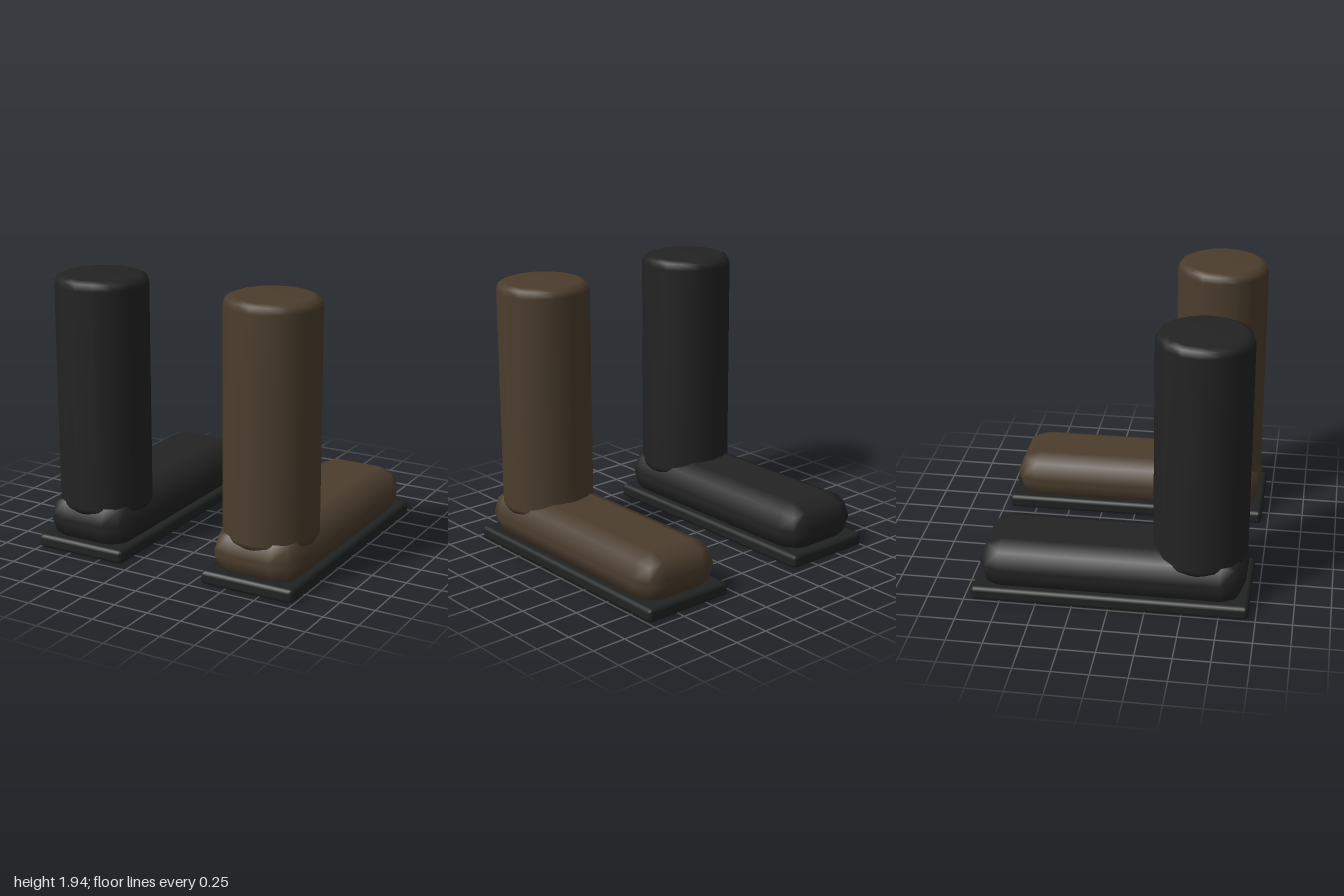
import * as THREE from 'three';
import { RoundedBoxGeometry } from 'three/addons/geometries/RoundedBoxGeometry.js';

// Upright shaft: a cylinder with rounded rims
function shaftGeometry(radius, bottom, top, bevel) {
  const points = [new THREE.Vector2(0, bottom)];
  for (let i = 0; i <= 2; i++) {
    const a = (i / 2) * Math.PI / 2;
    points.push(new THREE.Vector2(radius - bevel + bevel * Math.sin(a), bottom + bevel - bevel * Math.cos(a)));
  }
  for (let i = 0; i <= 2; i++) {
    const a = (i / 2) * Math.PI / 2;
    points.push(new THREE.Vector2(radius - bevel + bevel * Math.cos(a), top - bevel + bevel * Math.sin(a)));
  }
  points.push(new THREE.Vector2(0, top));
  return new THREE.LatheGeometry(points, 16);
}

export function createModel() {
  const brown = new THREE.MeshStandardMaterial({ color: 0x4b3d2d });
  brown.name = 'brown leather';
  const black = new THREE.MeshStandardMaterial({ color: 0x232323 });
  black.name = 'black leather';
  const rubber = new THREE.MeshStandardMaterial({ color: 0x202222 });
  rubber.name = 'dark rubber';

  const shaft = shaftGeometry(0.326, 0.28, 1.94, 0.06);
  const foot = new RoundedBoxGeometry(0.65, 0.36, 1.835, 1, 0.165);
  const sole = new RoundedBoxGeometry(0.685, 0.097, 1.9, 1, 0.028);

  const model = new THREE.Group();
  model.name = 'pairOfBoots';

  // One boot: sole, foot and shaft, with the toe pointing to -z
  function addBoot(name, x, leather) {
    const boot = new THREE.Group();
    boot.name = name;
    boot.position.x = x;
    const part = (partName, geometry, material, y, z) => {
      const mesh = new THREE.Mesh(geometry, material);
      mesh.name = partName;
      mesh.position.set(0, y, z);
      boot.add(mesh);
    };
    part('sole', sole, rubber, 0.0485, 0);
    part('foot', foot, leather, 0.22, 0.002);
    part('shaft', shaft, leather, 0, 0.592);
    model.add(boot);
  }

  addBoot('leftBoot', 0.657, brown);
  addBoot('rightBoot', -0.657, black);
  return model;
}
